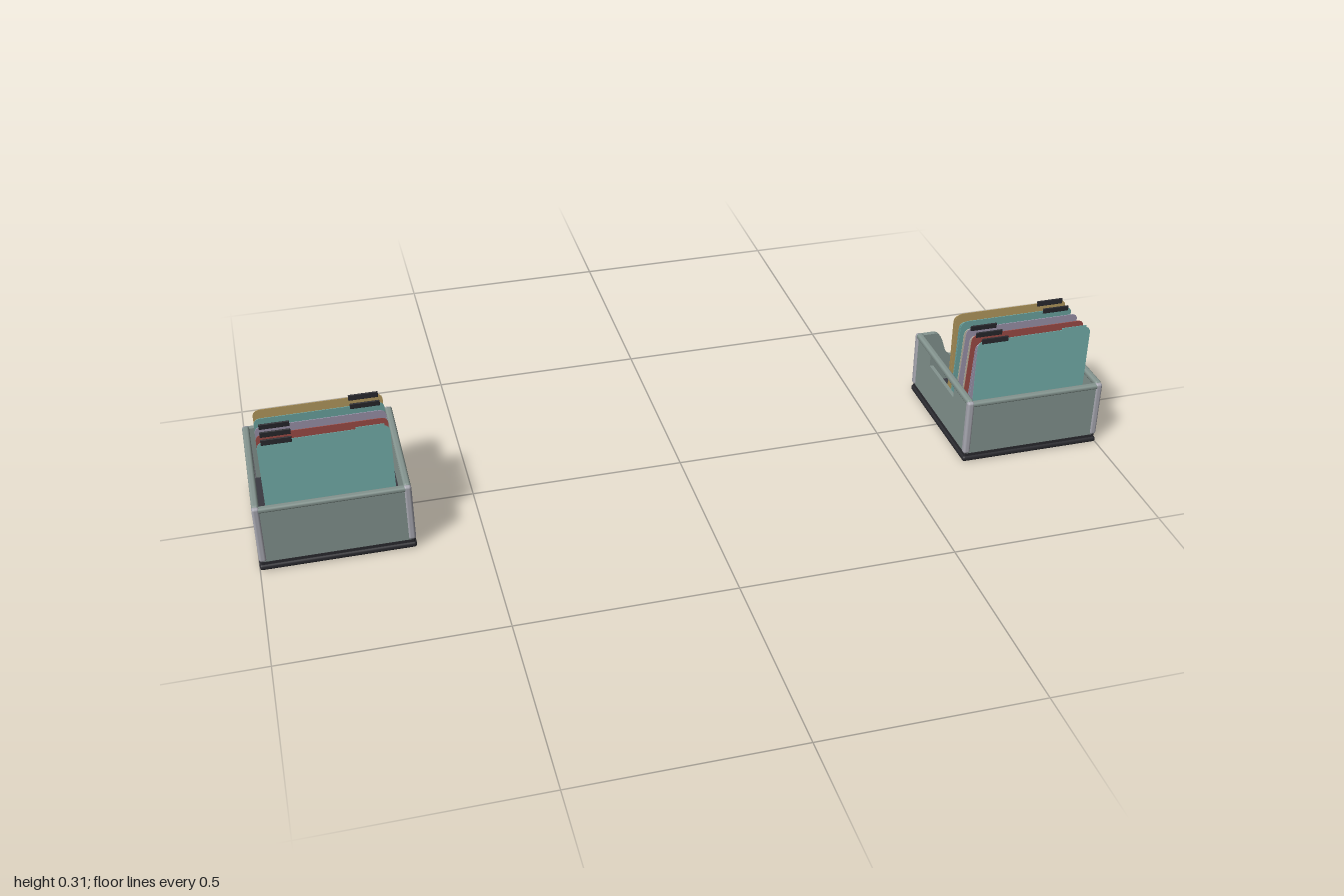
import * as THREE from 'three';
import { RoundedBoxGeometry } from 'three/addons/geometries/RoundedBoxGeometry.js';

const mat = (name, color, side = THREE.FrontSide) => {
  const m = new THREE.MeshStandardMaterial({ color, side });
  m.name = name;
  return m;
};
const M = {
  wall: mat('greyGreen', 0x84948f),
  post: mat('paleGrey', 0xa8a8b1),
  base: mat('nearBlack', 0x2a2a2f),
  floor: mat('charcoal', 0x3a3941),
  teal: mat('teal', 0x74b0ac),
  lilac: mat('lilac', 0xa79fb8),
  cream: mat('cream', 0xc9c2ae),
  red: mat('red', 0xa8524c),
  gold: mat('gold', 0xb59a5e),
  white: mat('white', 0xdedede),
};

function add(parent, name, geo, material, x = 0, y = 0, z = 0) {
  const mesh = new THREE.Mesh(geo, material);
  mesh.name = name;
  mesh.position.set(x, y, z);
  parent.add(mesh);
  return mesh;
}
const box = (w, h, d) => new THREE.BoxGeometry(w, h, d);
const round = (w, h, d, r) => new RoundedBoxGeometry(w, h, d, 3, r);

// Flat slab cut from a shape, centred on its thickness
function slab(shape, depth) {
  const g = new THREE.ExtrudeGeometry(shape, { depth, bevelEnabled: false, curveSegments: 8 });
  return g.translate(0, 0, -depth / 2);
}

function rect(x0, y0, x1, y1, path = new THREE.Shape()) {
  path.moveTo(x0, y0);
  path.lineTo(x1, y0);
  path.lineTo(x1, y1);
  path.lineTo(x0, y1);
  path.closePath();
  return path;
}

// Sheet outline with rounded top corners, standing on y = 0
function sheetShape(hw, h, r = 0.018) {
  const s = new THREE.Shape();
  s.moveTo(-hw, 0);
  s.lineTo(hw, 0);
  s.lineTo(hw, h - r);
  s.quadraticCurveTo(hw, h, hw - r, h);
  s.lineTo(-hw + r, h);
  s.quadraticCurveTo(-hw, h, -hw, h - r);
  s.closePath();
  return s;
}

function buildTray() {
  const tray = new THREE.Group();
  tray.name = 'tray';
  // Stepped base and inner floor
  add(tray, 'basePlate', round(0.346, 0.014, 0.346, 0.006), M.base, 0, 0.007);
  add(tray, 'baseStep', round(0.338, 0.012, 0.338, 0.003), M.base, 0, 0.017);
  add(tray, 'floor', box(0.326, 0.004, 0.326), M.floor, 0, 0.024);

  // Side walls with grip slots, top rails
  const side = rect(-0.16, 0.022, 0.16, 0.16);
  side.holes.push(rect(-0.076, 0.124, 0.076, 0.153, new THREE.Path()));
  for (const s of [-1, 1]) {
    add(tray, 'sideWall', slab(side, 0.009), M.wall, s * 0.164).rotation.y = Math.PI / 2;
    add(tray, 'sideRail', round(0.016, 0.015, 0.33, 0.006), M.wall, s * 0.164, 0.1605);
    for (const t of [-1, 1])
      add(tray, 'cornerPost', round(0.017, 0.143, 0.017, 0.006), M.post, s * 0.164, 0.0935, t * 0.164);
  }

  // Front wall
  add(tray, 'frontWall', box(0.326, 0.136, 0.012), M.wall, 0, 0.09, 0.164);
  add(tray, 'frontRail', round(0.326, 0.012, 0.016, 0.005), M.wall, 0, 0.157, 0.164);

  // Back wall with a scooped opening
  const back = new THREE.Shape();
  back.moveTo(-0.163, 0.022);
  back.lineTo(0.163, 0.022);
  back.lineTo(0.163, 0.163);
  back.lineTo(0.125, 0.163);
  back.bezierCurveTo(0.095, 0.163, 0.105, 0.092, 0.07, 0.092);
  back.lineTo(-0.07, 0.092);
  back.bezierCurveTo(-0.105, 0.092, -0.095, 0.163, -0.125, 0.163);
  back.lineTo(-0.163, 0.163);
  back.closePath();
  add(tray, 'backWall', slab(back, 0.012), M.wall, 0, 0, -0.164);

  // Dark plate with pale marks on the back
  add(tray, 'backPlate', box(0.145, 0.044, 0.004), M.base, 0, 0.053, -0.171);
  for (let i = 0; i < 6; i++)
    for (const y of [0.045, 0.061])
      add(tray, 'plateMark', box(0.009, 0.004, 0.001), M.white, (i - 2.5) * 0.021, y, -0.1732);
  return tray;
}

// Folder sheets: [name, colour, top z, bottom z, top y, tab x]
const SHEETS = [
  ['frontCover', M.teal, 0.128, 0.128, 0.304, -0.1],
  ['frontFolderBack', M.lilac, 0.126, 0.098, 0.303, -0.1],
  ['frontFolderLeaf', M.lilac, 0.117, 0.088, 0.294],
  ['secondFolder', M.red, 0.093, 0.064, 0.303, -0.1],
  ['secondFolderLeaf', M.cream, 0.082, 0.058, 0.294],
  ['thirdFolder', M.lilac, 0.06, 0.026, 0.303, -0.1],
  ['thirdFolderLeaf', M.cream, 0.048, 0.024, 0.294],
  ['fourthFolder', M.teal, 0.027, -0.004, 0.303, 0.1],
  ['fourthFolderLeaf', M.teal, 0.016, 0.001, 0.294],
  ['rearFolder', M.gold, -0.007, -0.007, 0.303, 0.1],
  ['rearPocket', M.gold, -0.018, -0.018, 0.294],
];

function buildFolders() {
  const folders = new THREE.Group();
  folders.name = 'folders';
  for (const [name, material, zTop, zBottom, top, tabX] of SHEETS) {
    const pivot = new THREE.Group();
    pivot.name = name;
    pivot.position.set(0, 0.026, zBottom);
    pivot.rotation.x = Math.atan2(zTop - zBottom, top - 0.026);
    const h = top - 0.026;
    add(pivot, name + 'Sheet', slab(sheetShape(0.1425, h), 0.0014), material);
    if (tabX !== undefined)
      add(pivot, name + 'Tab', round(0.066, 0.014, 0.004, 0.0015), M.base, tabX, h - 0.001);
    folders.add(pivot);
  }
  // Raised tab on the front cover
  add(folders, 'coverTab', box(0.062, 0.008, 0.0014), M.teal, 0.1, 0.305, 0.128);

  // Pocket decoration: thumb curve, tie band and two stitched lines
  const z = -0.0191;
  const arc = new THREE.CatmullRomCurve3(Array.from({ length: 13 }, (_, i) => {
    const a = Math.PI * i / 12;
    return new THREE.Vector3(0.105 * Math.cos(a), 0.292 - 0.075 * Math.sin(a), z);
  }));
  add(folders, 'thumbCurve', new THREE.TubeGeometry(arc, 24, 0.0009, 4), M.base);
  add(folders, 'tieBand', box(0.284, 0.0045, 0.001), M.base, 0, 0.141, z).rotation.z = -0.07;
  for (const y of [0.155, 0.11])
    for (let i = 0; i < 13; i++)
      add(folders, 'stitch', box(0.014, 0.003, 0.001), M.base, (i - 6) * 0.0215, y, z);
  return folders;
}

export function createModel() {
  const model = new THREE.Group();
  model.name = 'filingTrays';
  const unit = new THREE.Group();
  unit.name = 'filledTray';
  unit.add(buildTray(), buildFolders());
  for (const x of [-0.827, 0.827]) {
    const copy = unit.clone(true);
    copy.position.x = x;
    model.add(copy);
  }
  return model;
}
